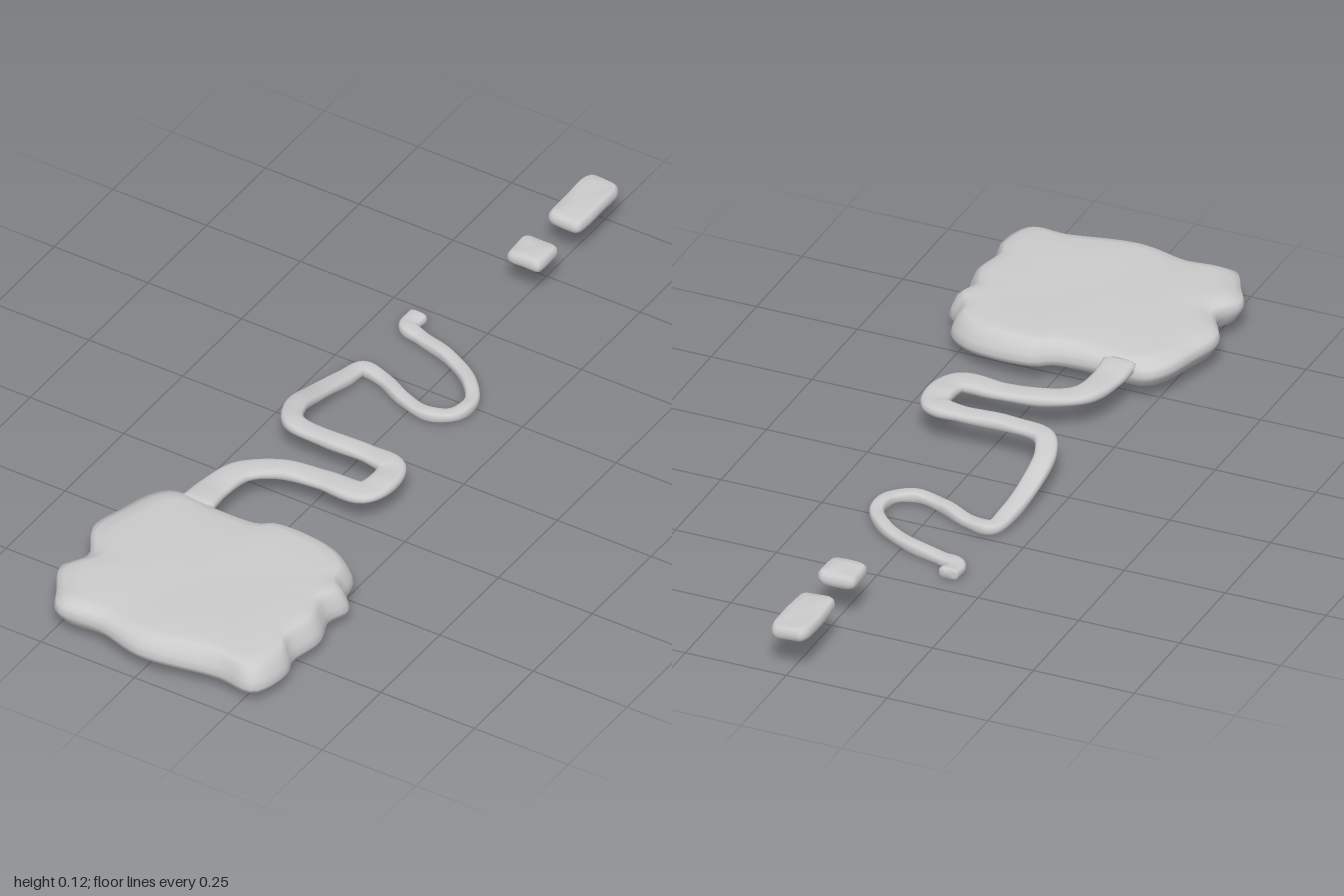
import * as THREE from 'three';

const material = new THREE.MeshStandardMaterial({ color: 0xcccccc });

// Smooth skin through closed rings of equal point count
function loft(name, rings) {
  const n = rings[0].length, index = [];
  for (let i = 0; i < rings.length - 1; i++) {
    for (let j = 0; j < n; j++) {
      const k = (j + 1) % n, a = i * n, b = a + n;
      index.push(a + j, b + j, a + k, a + k, b + j, b + k);
    }
  }
  // Close both ends with a fan around the ring's centre
  const points = rings.flat();
  const cap = (ring, start, flip) => {
    const c = ring.reduce((s, p) => s.add(p), new THREE.Vector3()).divideScalar(n);
    const m = points.push(c) - 1;
    for (let j = 0; j < n; j++) {
      const p = start + j, q = start + (j + 1) % n;
      index.push(m, flip ? q : p, flip ? p : q);
    }
  };
  cap(rings[0], 0, false);
  cap(rings[rings.length - 1], (rings.length - 1) * n, true);
  const geo = new THREE.BufferGeometry().setFromPoints(points);
  geo.setIndex(index);
  geo.computeVertexNormals();
  const mesh = new THREE.Mesh(geo, material);
  mesh.name = name;
  return mesh;
}

// Broad slab with a ragged rim and a slightly uneven top
function makeSlab() {
  const outline = [
    [-0.27, 0.49], [-0.235, 0.455], [-0.12, 0.46], [0, 0.455], [0.04, 0.432], [0.2, 0.445],
    [0.265, 0.49], [0.28, 0.545], [0.31, 0.58], [0.292, 0.635], [0.315, 0.71], [0.3, 0.805],
    [0.315, 0.85], [0.285, 0.95], [0.19, 0.95], [0, 0.985], [-0.12, 0.96], [-0.235, 0.96],
    [-0.27, 0.905], [-0.305, 0.835], [-0.275, 0.765], [-0.32, 0.67], [-0.3, 0.58],
  ].map(([x, z]) => new THREE.Vector3(x, 0, z));
  const rim = new THREE.CatmullRomCurve3(outline, true).getSpacedPoints(120).slice(0, 120);
  // Inset scale and height, from the underside over the rim to the top
  const profile = [[0.45, 0.044], [0.86, 0.041], [0.94, 0.044], [0.985, 0.052], [1, 0.065],
    [0.985, 0.082], [0.945, 0.097], [0.9, 0.106], [0.82, 0.11], [0.6, 0.112], [0.3, 0.112]];
  const cz = 0.71;
  return loft('slab', profile.map(([s, h]) => rim.map((p) => {
    const x = p.x * s, z = cz + (p.z - cz) * s;
    const ripple = h > 0.1 ? 0.002 * Math.sin(x * 16) * Math.cos(z * 14) : 0;
    const tilt = h > 0.05 && h < 0.09 ? -0.012 * x / 0.3 : 0.008 * x;
    return new THREE.Vector3(x, h + ripple + tilt, z);
  })));
}

// Winding strip: x, y, z, width along its centre line
function makePath() {
  const stations = [
    [-0.165, 0.09, 0.475, 0.085], [-0.165, 0.086, 0.4, 0.075], [-0.145, 0.085, 0.315, 0.065],
    [-0.075, 0.087, 0.263, 0.058], [0.03, 0.088, 0.245, 0.06], [0.13, 0.09, 0.24, 0.07],
    [0.15, 0.09, 0.18, 0.07], [0.135, 0.09, 0.125, 0.068], [0.07, 0.09, 0.112, 0.052],
    [-0.05, 0.09, 0.114, 0.048], [-0.14, 0.088, 0.1, 0.052], [-0.174, 0.08, 0.04, 0.052],
    [-0.18, 0.055, -0.05, 0.05], [-0.172, 0.028, -0.16, 0.046], [-0.158, 0.022, -0.222, 0.04],
    [-0.1, 0.02, -0.215, 0.036], [-0.02, 0.021, -0.177, 0.034], [0.055, 0.022, -0.16, 0.034],
    [0.105, 0.021, -0.19, 0.034], [0.113, 0.02, -0.25, 0.034], [0.065, 0.02, -0.315, 0.034],
    [-0.02, 0.02, -0.365, 0.034], [-0.11, 0.019, -0.392, 0.036], [-0.155, 0.02, -0.41, 0.046],
    [-0.155, 0.022, -0.457, 0.05],
  ];
  const curve = new THREE.CatmullRomCurve3(stations.map(([x, y, z]) => new THREE.Vector3(x, y, z)));
  const up = new THREE.Vector3(0, 1, 0), steps = 240, sides = 16, rings = [];
  for (let i = 0; i <= steps; i++) {
    const t = i / steps, f = t * (stations.length - 1);
    const k = Math.min(Math.floor(f), stations.length - 2);
    const w = THREE.MathUtils.lerp(stations[k][3], stations[k + 1][3], f - k) / 2;
    const c = curve.getPoint(t);
    const side = curve.getTangent(t).cross(up).normalize();
    const h = 0.013 + 0.0012 * Math.sin(i * 0.45);
    const shrink = i === 0 || i === steps ? 0.8 : 1;
    rings.push(Array.from({ length: sides }, (_, j) => {
      const a = (j / sides) * Math.PI * 2, cs = Math.cos(a), sn = Math.sin(a);
      return c.clone()
        .addScaledVector(side, Math.sign(cs) * Math.abs(cs) ** 0.65 * w * shrink)
        .addScaledVector(up, Math.sign(sn) * Math.abs(sn) ** 0.65 * h * shrink);
    }));
  }
  return loft('windingPath', rings);
}

// Small worn block with rounded corners
function makeBlock(name, z0, z1) {
  const n = 48, hx = 0.048, hz = (z1 - z0) / 2, cz = (z0 + z1) / 2;
  const profile = [[0.5, 0.095], [0.86, 0.094], [0.97, 0.099], [1, 0.108],
    [0.97, 0.118], [0.86, 0.124], [0.5, 0.125]];
  return loft(name, profile.map(([s, y]) => Array.from({ length: n }, (_, j) => {
    const a = (j / n) * Math.PI * 2, c = Math.cos(a), d = Math.sin(a);
    const wobble = 1 - 0.02 * (1 + Math.sin(a * 5));
    const x = Math.sign(c) * Math.abs(c) ** 0.35 * hx * s * wobble;
    const z = Math.sign(d) * Math.abs(d) ** 0.35 * (hz - hx * (1 - s));
    return new THREE.Vector3(x, y + 0.0015 * Math.sin(x * 50 + z * 40), cz + z);
  })));
}

export function createModel() {
  const group = new THREE.Group();
  group.name = 'slabWithWindingPath';
  group.add(makeSlab(), makePath(),
    makeBlock('shortBlock', -0.735, -0.645), makeBlock('longBlock', -1, -0.815));
  return group;
}
